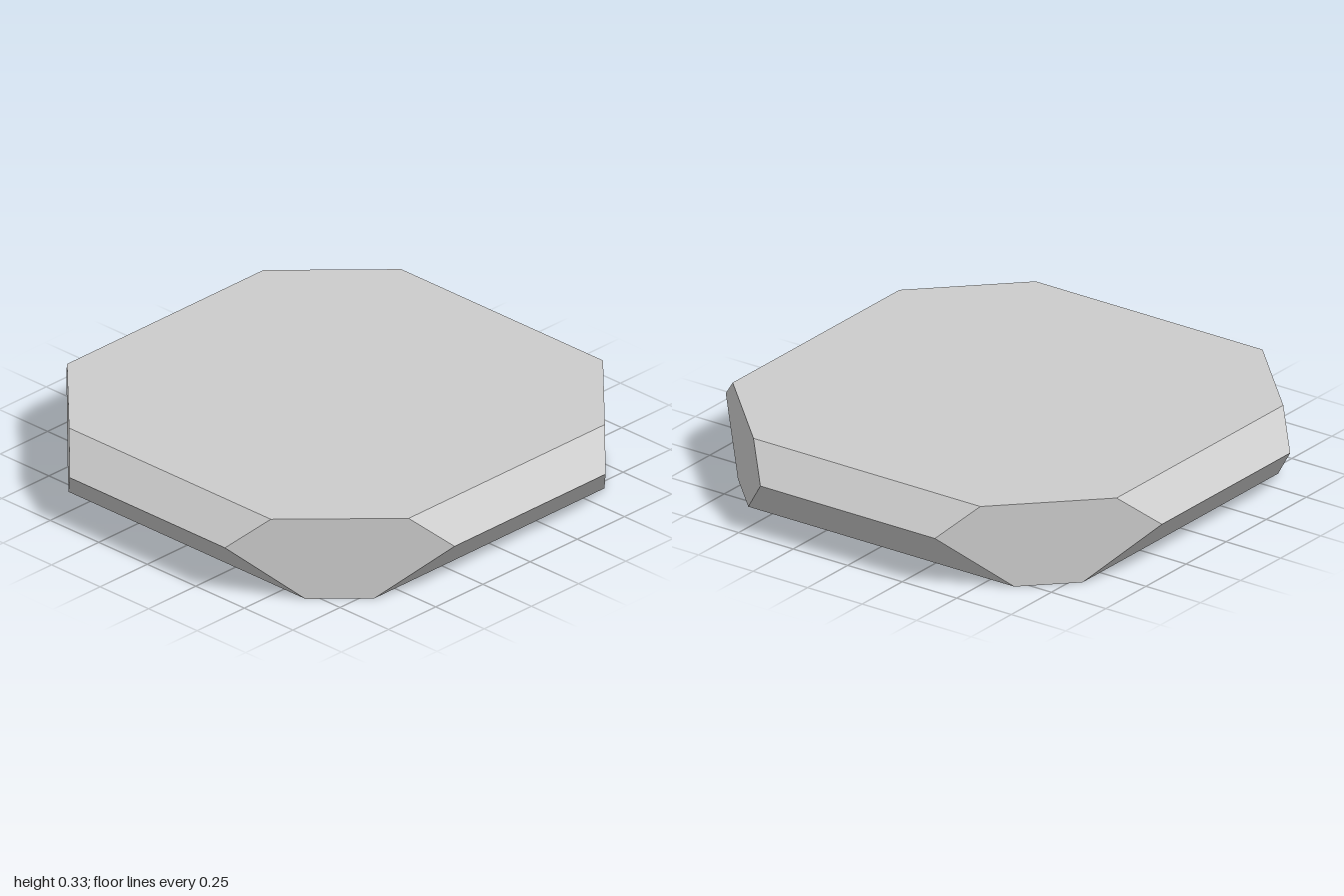
import * as THREE from 'three';
import { ConvexGeometry } from 'three/addons/geometries/ConvexGeometry.js';

// Each ring is an octagon: [height, distance of the sides from the centre].
// The corners are cut by vertical diagonal planes where |x| + |z| = CUT.
const CUT = 1.4;
const RINGS = [
  [0, 0.79],     // underside
  [0.215, 1],    // widest girdle
  [0.333, 0.88], // top
];

export function createModel() {
  const points = [];
  for (const [y, side] of RINGS) {
    for (const sx of [-1, 1]) {
      for (const sz of [-1, 1]) {
        points.push(new THREE.Vector3(sx * side, y, sz * (CUT - side)));
        points.push(new THREE.Vector3(sx * (CUT - side), y, sz * side));
      }
    }
  }

  // Bevelled octagonal slab with flat facets
  const slab = new THREE.Mesh(
    new ConvexGeometry(points),
    new THREE.MeshStandardMaterial({ color: 0xcccccc, flatShading: true })
  );
  slab.name = 'bevelledSlab';

  const group = new THREE.Group();
  group.name = 'octagonalSlab';
  group.add(slab);
  return group;
}
